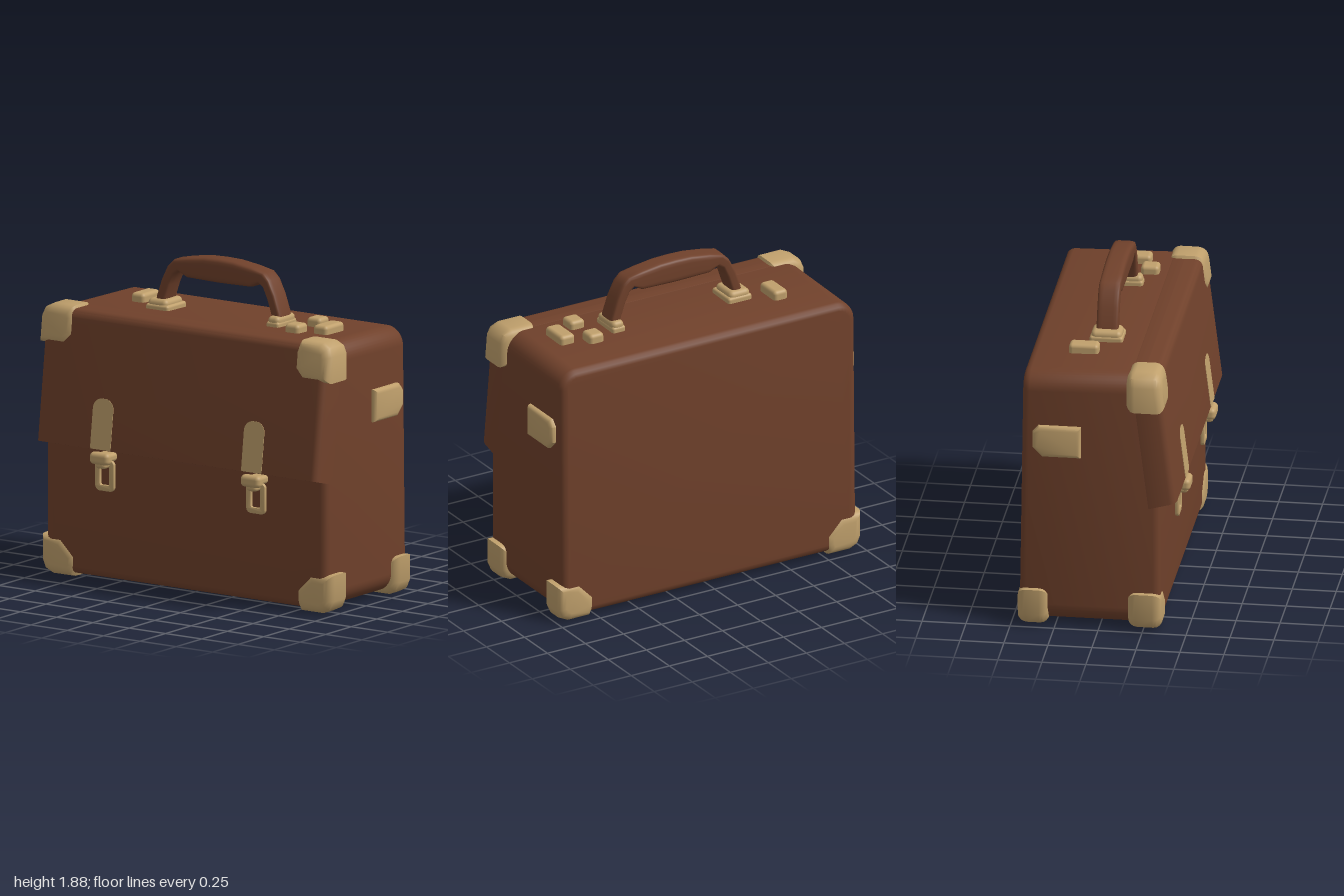
import * as THREE from 'three';
import { toCreasedNormals } from 'three/addons/utils/BufferGeometryUtils.js';
import { RoundedBoxGeometry } from 'three/addons/geometries/RoundedBoxGeometry.js';

const leather = new THREE.MeshStandardMaterial({ name: 'brown leather', color: 0x70412b });
const brass = new THREE.MeshStandardMaterial({ name: 'aged brass', color: 0xc0a06c });

// Rectangle with its own radius at the lower and upper corners
function roundedRect(x0, y0, x1, y1, rLow, rHigh = rLow, path = new THREE.Shape()) {
  path.moveTo(x0 + rLow, y0);
  path.lineTo(x1 - rLow, y0);
  path.absarc(x1 - rLow, y0 + rLow, rLow, -Math.PI / 2, 0);
  path.lineTo(x1, y1 - rHigh);
  path.absarc(x1 - rHigh, y1 - rHigh, rHigh, 0, Math.PI / 2);
  path.lineTo(x0 + rHigh, y1);
  path.absarc(x0 + rHigh, y1 - rHigh, rHigh, Math.PI / 2, Math.PI);
  path.lineTo(x0, y0 + rLow);
  path.absarc(x0 + rLow, y0 + rLow, rLow, Math.PI, Math.PI * 1.5);
  return path;
}

const polygon = (points) => new THREE.Shape(points.map(([x, y]) => new THREE.Vector2(x, y)));

function extrude(shape, depth, bevel, segments = 3) {
  return new THREE.ExtrudeGeometry(shape, {
    depth, curveSegments: 5, bevelEnabled: bevel > 0,
    bevelSize: bevel, bevelThickness: bevel, bevelSegments: segments,
  });
}

// Moves every vertex by a rule, then smooths the soft edges
function shapeBy(geo, rule) {
  const p = geo.attributes.position, v = new THREE.Vector3();
  for (let i = 0; i < p.count; i++) {
    v.fromBufferAttribute(p, i);
    rule(v);
    p.setXYZ(i, v.x, v.y, v.z);
  }
  return toCreasedNormals(geo, 0.75);
}

function add(parent, name, geo, mat, x = 0, y = 0, z = 0) {
  const mesh = new THREE.Mesh(geo, mat);
  mesh.name = name;
  mesh.position.set(x, y, z);
  parent.add(mesh);
  return mesh;
}

// Rounded box given by its limits
function block(parent, name, [x0, x1], [y0, y1], [z0, z1], r) {
  const geo = new RoundedBoxGeometry(x1 - x0, y1 - y0, z1 - z0, 3, r);
  return add(parent, name, geo, brass, (x0 + x1) / 2, (y0 + y1) / 2, (z0 + z1) / 2);
}

// Corner guard: outline measured inwards from the outer corner, with the inner corner cut off
function cornerGuard(parent, name, [x0, x1], yOuter, up, side, cut, lean) {
  const bevel = 0.05;
  const outline = [[0.05, 0.085], [0.06, 0.062], [0.085, 0.05], [0.185, 0.05], [0.195, 0.07],
    [0.195, 0.175 - cut], [0.195 - cut, 0.175], [0.05, 0.175]];
  const shape = polygon(outline.map(([a, b]) => [-side * (1 - a), yOuter + up * b]));
  const geo = extrude(shape, x1 - x0 - 2 * bevel, bevel, 4);
  geo.rotateY(Math.PI / 2).translate(x0 + bevel, 0, 0);
  add(parent, name, shapeBy(geo, (v) => {
    if (v.x < -0.25) v.x -= lean * (1.55 - v.y);
  }), brass);
}

// Handle skin: squarish sections stretched between an outer and an inner outline
function handleGeometry() {
  const outer = [[.435, 1.56], [.425, 1.62], [.39, 1.72], [.35, 1.8], [.31, 1.84], [.22, 1.86], [.1, 1.877], [0, 1.88]];
  const inner = [[.37, 1.56], [.365, 1.6], [.335, 1.69], [.305, 1.755], [.272, 1.775], [.22, 1.745], [.1, 1.742], [0, 1.74]];
  const both = (a) => [...a, ...a.slice(0, -1).reverse().map(([z, y]) => [-z, y])];
  const o = both(outer), n = both(inner), sides = 20, pos = [], idx = [];
  const soft = (t) => Math.sign(t) * Math.pow(Math.abs(t), 0.4);
  o.forEach(([oz, oy], i) => {
    const [iz, iy] = n[i];
    for (let j = 0; j < sides; j++) {
      const a = ((j + 0.5) / sides) * Math.PI * 2, t = (soft(Math.sin(a)) + 1) / 2;
      pos.push(0.0275 + 0.0625 * soft(Math.cos(a)), iy + (oy - iy) * t, iz + (oz - iz) * t);
      if (i < o.length - 1) {
        const k = (j + 1) % sides, p = i * sides, q = p + sides;
        idx.push(p + j, q + j, p + k, p + k, q + j, q + k);
      }
    }
  });
  const geo = new THREE.BufferGeometry();
  geo.setAttribute('position', new THREE.Float32BufferAttribute(pos, 3));
  geo.setIndex(idx);
  geo.computeVertexNormals();
  return geo;
}

export function createModel() {
  const model = new THREE.Group();
  model.name = 'briefcase';

  // Case body, slightly narrower towards the top
  const body = extrude(roundedRect(-0.927, 0.067, 0.927, 1.512, 0.07), 0.72, 0.04);
  body.rotateY(Math.PI / 2).translate(-0.305, 0, 0);
  add(model, 'caseBody', shapeBy(body, (v) => {
    if (v.y > 1) v.y -= 0.016 * (v.x + 0.345) / 0.8;
    if (v.x > 0) v.x -= 0.022 * (v.y - 0.03) / 1.52;
  }), leather);

  // Closing flap: flush with the ends, leaning outwards to a flat lower edge
  const flap = extrude(roundedRect(-0.928, 0.7, 0.928, 1.51, 0.02, 0.07), 0.12, 0.04);
  flap.rotateY(-Math.PI / 2).translate(-0.28, 0, 0);
  add(model, 'closingFlap', shapeBy(flap, (v) => {
    v.y = Math.max(v.y, 0.765 + 0.26 * (-0.345 - v.x));
    v.x += 0.095 * (v.y - 0.79) / 0.76;
  }), leather);

  for (const s of [1, -1]) {
    // Corner guards
    cornerGuard(model, 'lowerBackCorner', [-0.355, -0.163], 0.008, 1, s, 0.07, 0);
    cornerGuard(model, 'lowerFrontCorner', [0.288, 0.463], 0.004, 1, s, 0.07, 0);
    cornerGuard(model, 'upperCorner', [-0.355, -0.155], 1.566, -1, s, 0.03, 0.125);

    // End plate with trimmed outer corners
    const plate = polygon([[0.125, 1.065], [0.31, 1.065], [0.35, 1.105], [0.35, 1.18], [0.33, 1.202], [0.125, 1.202]]);
    const plateGeo = toCreasedNormals(extrude(plate, 0.02, 0.025), 0.75);
    add(model, 'endPlate', plateGeo, brass, 0, 0, s > 0 ? 0.955 : -0.975);

    // Latch: strap plate, roll, hook and hanging ring
    const latch = new THREE.Group();
    latch.name = 'latch';
    latch.position.set(0, 0, s * 0.52);
    model.add(latch);
    const strap = extrude(roundedRect(-0.07, 0, 0.07, 0.29, 0.01, 0.06), 0.006, 0).rotateY(-Math.PI / 2);
    add(latch, 'latchPlate', strap, brass, -0.437, 0.79, 0).rotation.z = -0.1244;
    block(latch, 'latchRoll', [-0.466, -0.405], [0.705, 0.775], [-0.066, 0.066], 0.025);
    block(latch, 'latchHook', [-0.43, -0.335], [0.715, 0.765], [-0.05, 0.05], 0.02);
    block(latch, 'latchKnuckle', [-0.45, -0.375], [0.68, 0.73], [-0.035, 0.035], 0.02);
    const frame = roundedRect(-0.06, 0.55, 0.06, 0.72, 0.025);
    frame.holes.push(roundedRect(-0.036, 0.575, 0.036, 0.7, 0.012, 0.012, new THREE.Path()));
    const ring = toCreasedNormals(extrude(frame, 0.012, 0.005, 2), 0.7).rotateY(-Math.PI / 2);
    add(latch, 'latchRing', ring, brass, -0.385, 0, 0);
  }

  // Handle and its mounts
  add(model, 'handle', handleGeometry(), leather);
  block(model, 'rearMountBase', [-0.067, 0.122], [1.52, 1.575], [-0.475, -0.32], 0.015);
  block(model, 'rearMountClasp', [-0.06, 0.115], [1.53, 1.605], [-0.47, -0.335], 0.028);
  block(model, 'frontMountBase', [-0.067, 0.122], [1.52, 1.575], [0.355, 0.44], 0.015);
  block(model, 'frontMountClasp', [-0.063, 0.118], [1.53, 1.605], [0.36, 0.437], 0.025);

  // Small plates on the lid
  for (const [x, z] of [
    [[-0.135, -0.03], [0.53, 0.625]],
    [[0.08, 0.18], [0.53, 0.625]],
    [[-0.07, 0.112], [0.68, 0.775]],
    [[0.045, 0.215], [-0.655, -0.565]],
  ]) block(model, 'lidPlate', x, [1.52, 1.595], z, 0.022);

  return model;
}
